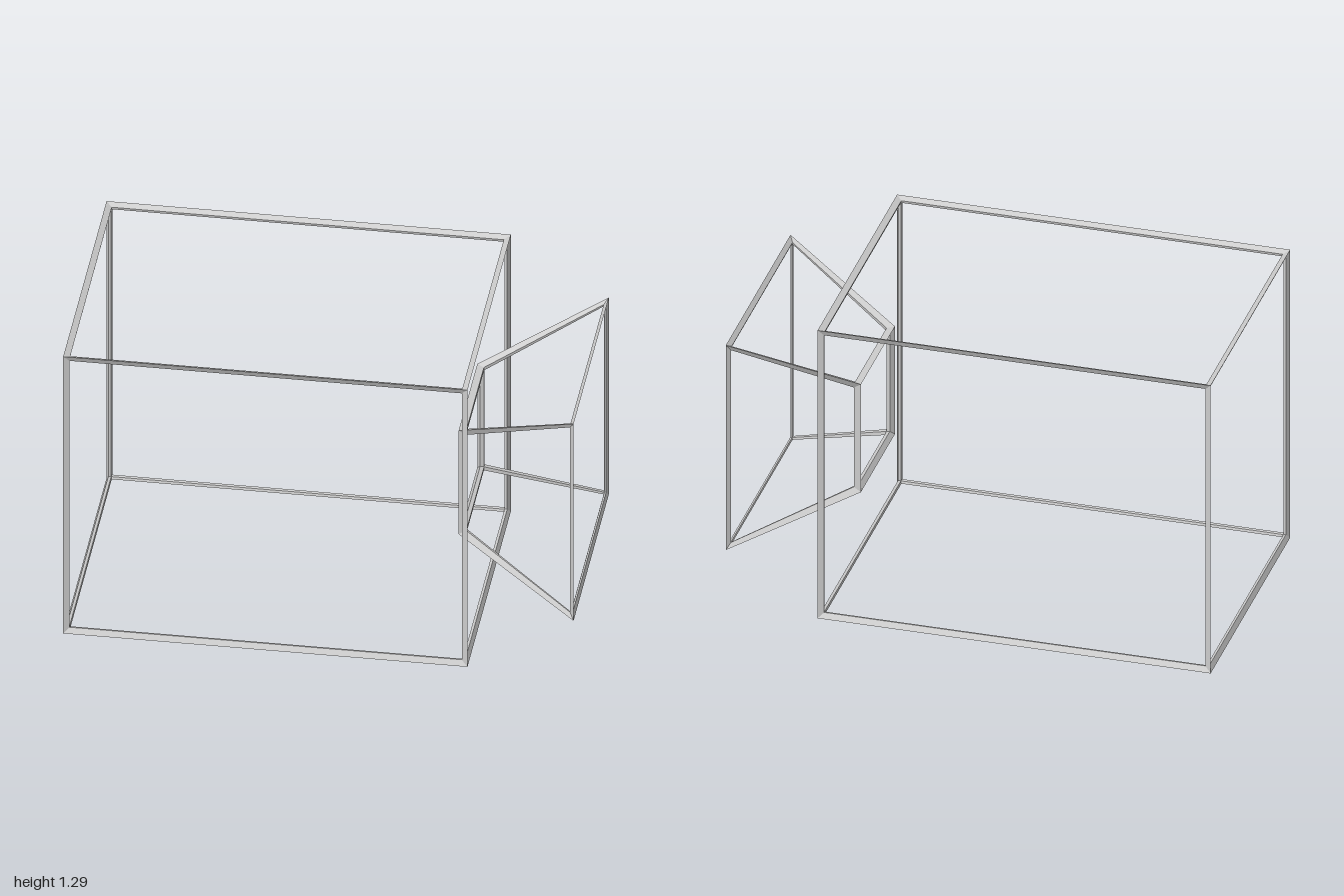
import * as THREE from 'three';

const HALF_THICKNESS = 0.0188;
const CENTRE_Y = 0.6445;

// Hollow strut frame around a six-sided solid lying along x.
// Each end is { x, hy, hz }: position and half sizes of the rectangle.
function createFrame(name, start, end, material) {
  const corners = [];
  for (const { x, hy, hz } of [start, end]) {
    for (const [sy, sz] of [[-1, -1], [1, -1], [1, 1], [-1, 1]]) {
      corners.push(new THREE.Vector3(x, CENTRE_Y + sy * hy, sz * hz));
    }
  }
  const faces = [[4, 5, 6, 7], [3, 2, 1, 0]];
  for (let i = 0; i < 4; i++) {
    const j = (i + 1) % 4;
    faces.push([i, j, j + 4, i + 4]);
  }

  // Face insets, and corner normals weighted by the face angles
  const normals = corners.map(() => new THREE.Vector3());
  const insets = faces.map((face) => face.map((index, k) => {
    const p = corners[index];
    const next = corners[face[(k + 1) % 4]].clone().sub(p).normalize();
    const prev = corners[face[(k + 3) % 4]].clone().sub(p).normalize();
    const faceNormal = next.clone().cross(prev).normalize();
    normals[index].addScaledVector(faceNormal, next.angleTo(prev));
    const inward = next.clone().add(prev).normalize();
    return p.clone().addScaledVector(inward, HALF_THICKNESS);
  }));
  normals.forEach((n) => n.normalize());
  const outer = corners.map((p, i) => p.clone().addScaledVector(normals[i], HALF_THICKNESS));
  const inner = corners.map((p, i) => p.clone().addScaledVector(normals[i], -HALF_THICKNESS));

  // Two strips along every side of every face: outside slope and opening wall
  const positions = [];
  const quad = (a, b, c, d) => {
    for (const v of [a, b, c, a, c, d]) positions.push(v.x, v.y, v.z);
  };
  faces.forEach((face, f) => {
    for (let k = 0; k < 4; k++) {
      const m = (k + 1) % 4;
      const a = insets[f][k];
      const b = insets[f][m];
      quad(outer[face[k]], outer[face[m]], b, a);
      quad(a, b, inner[face[m]], inner[face[k]]);
    }
  });

  const geometry = new THREE.BufferGeometry();
  geometry.setAttribute('position', new THREE.Float32BufferAttribute(positions, 3));
  geometry.computeVertexNormals();
  const mesh = new THREE.Mesh(geometry, material);
  mesh.name = name;
  return mesh;
}

export function createModel() {
  const group = new THREE.Group();
  group.name = 'wireCamera';
  const grey = new THREE.MeshStandardMaterial({ color: 0xcccccc });
  grey.name = 'lightGrey';

  // Box-shaped body frame
  group.add(createFrame('bodyFrame',
    { x: -0.989, hy: 0.6335, hz: 0.553 },
    { x: 0.586, hy: 0.6335, hz: 0.553 }, grey));

  // Flared hood frame, its narrow end inside the body
  group.add(createFrame('hoodFrame',
    { x: 0.528, hy: 0.233, hz: 0.233 },
    { x: 0.993, hy: 0.446, hz: 0.446 }, grey));

  return group;
}
